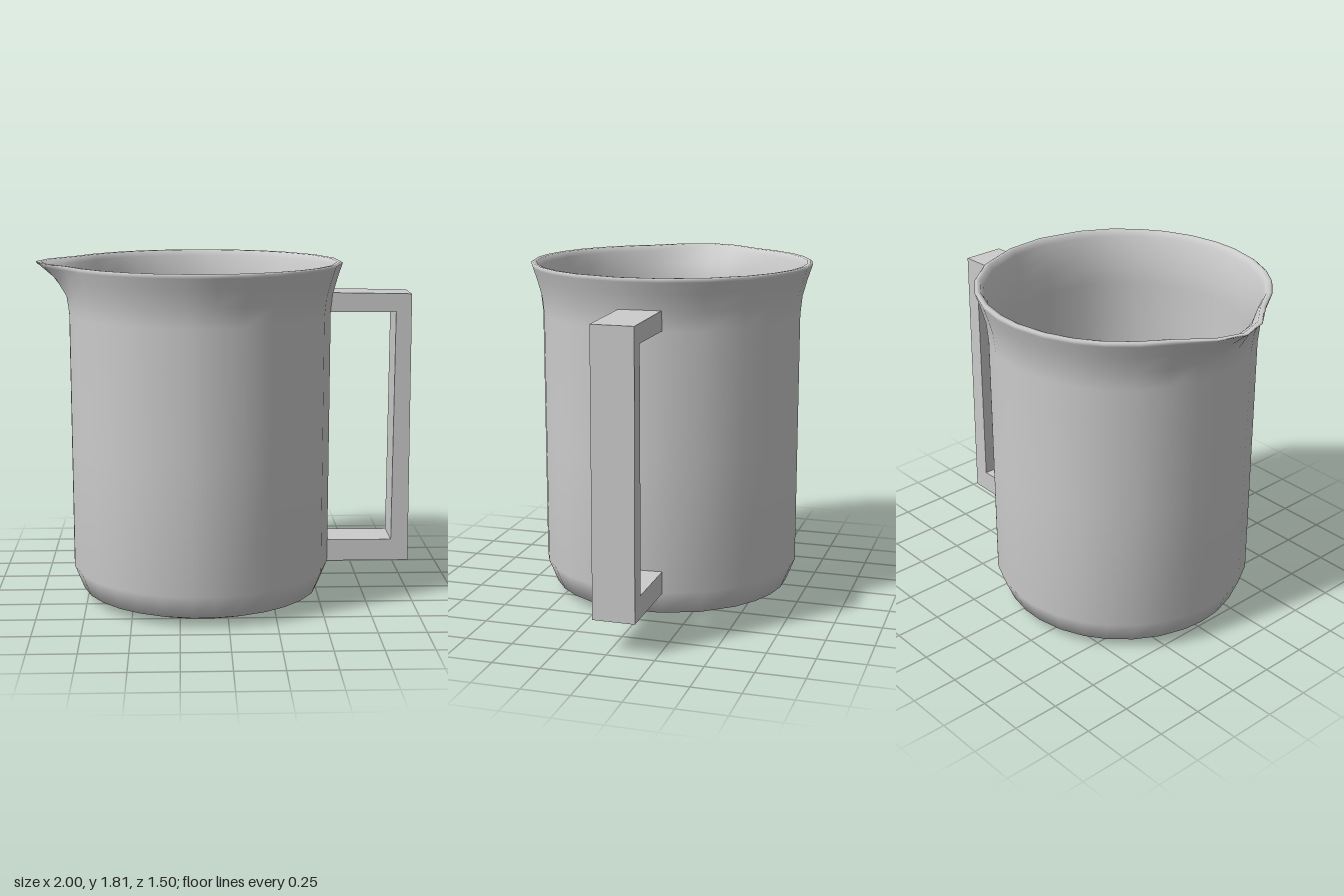
import * as THREE from 'three';

const CENTRE_X = -0.135;

// Angles of the jug's sides, in degrees away from the spout
const BACK = [0, 10.4, 24, 36.5, 49, 60, 72, 85, 95.5, 107.5, 120, 132.5, 150, 168.5];
const FRONT = [175, 156.6, 143.4, 132, 120, 107.5, 95.5, 85, 72, 60, 49, 36.5, 24, 10.4];
const ANGLES = [...BACK, ...FRONT.map((a) => -a)];

// Wall section as [radius, height]: up the outside, over the rim, down the inside
const PROFILE = [
  [0, 0], [0.52, 0.004], [0.645, 0.05], [0.695, 0.175], [0.695, 0.85], [0.695, 1.54],
  [0.705, 1.64], [0.73, 1.73], [0.75, 1.79], [0.755, 1.805], [0.745, 1.812],
  [0.725, 1.81], [0.71, 1.78], [0.69, 1.71], [0.673, 1.62], [0.668, 1.52],
  [0.668, 0.85], [0.668, 0.19], [0.62, 0.075], [0.5, 0.035], [0, 0.03],
];

// Extra radius that pulls the rim out into a pointed spout
function spoutReach(angle, y) {
  const across = Math.max(0, 1 - Math.pow(Math.abs(angle) / 25, 1.4));
  const rise = Math.max(0, (y - 1.6) / 0.21);
  return 0.115 * across * rise * rise;
}

function jugGeometry() {
  const positions = [];
  const index = [];
  const n = ANGLES.length;
  for (const [r, y] of PROFILE) {
    for (const angle of ANGLES) {
      const a = THREE.MathUtils.degToRad(angle);
      const reach = r + spoutReach(angle, y);
      positions.push(CENTRE_X - reach * Math.cos(a), y, -reach * Math.sin(a));
    }
  }
  const last = PROFILE.length - 2;
  for (let i = 0; i <= last; i++) {
    for (let j = 0; j < n; j++) {
      const a = i * n + j;
      const b = i * n + ((j + 1) % n);
      if (i > 0) index.push(b, a, a + n);
      if (i < last) index.push(b, a + n, b + n);
      // close the base and the floor at their centres
      if (i === 0) index.push(b, a + n, b + n);
    }
  }
  // one triangle per side is enough at the centres
  const geometry = new THREE.BufferGeometry();
  geometry.setAttribute('position', new THREE.Float32BufferAttribute(positions, 3));
  geometry.setIndex(index);
  geometry.computeVertexNormals();
  return geometry;
}

// Square-cut bracket with both arms let into the wall
function handleGeometry() {
  const outline = [
    [0.545, 0.175], [1, 0.175], [0.987, 1.64], [0.545, 1.648],
    [0.545, 1.545], [0.905, 1.545], [0.905, 0.293], [0.545, 0.293],
  ];
  const shape = new THREE.Shape(outline.map(([x, y]) => new THREE.Vector2(x, y)));
  const geometry = new THREE.ExtrudeGeometry(shape, { depth: 0.22, bevelEnabled: false });
  geometry.translate(0, 0, -0.15);
  return geometry;
}

export function createModel() {
  const group = new THREE.Group();
  group.name = 'jug';
  const grey = new THREE.MeshStandardMaterial({ color: 0xcccccc });

  const body = new THREE.Mesh(jugGeometry(), grey);
  body.name = 'body';
  const handle = new THREE.Mesh(handleGeometry(), grey);
  handle.name = 'handle';

  group.add(body, handle);
  return group;
}
